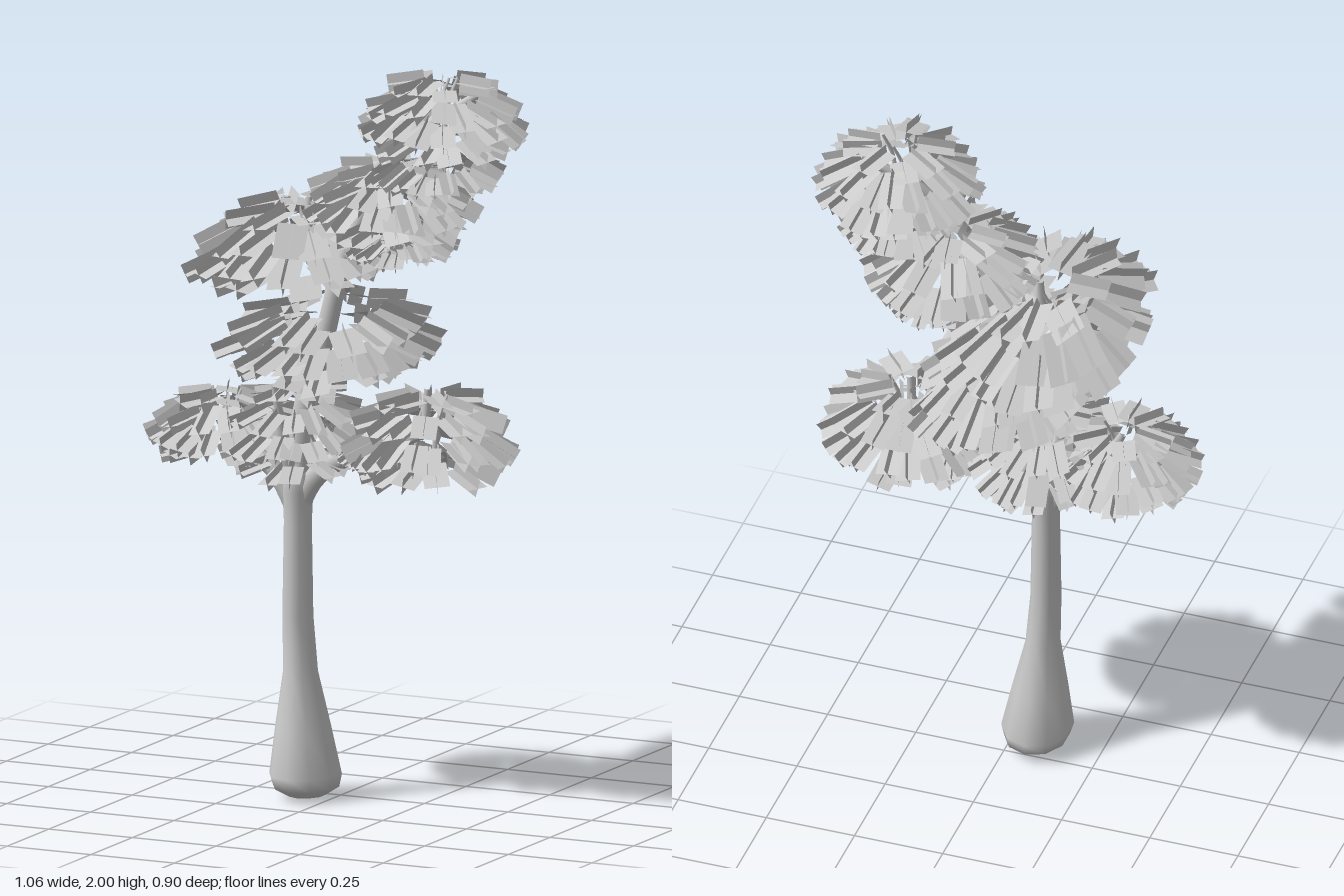
import * as THREE from 'three';
import { mergeGeometries } from 'three/addons/utils/BufferGeometryUtils.js';

const bark = new THREE.MeshStandardMaterial({ color: 0xcccccc });
const foliage = new THREE.MeshStandardMaterial({ color: 0xcccccc, side: THREE.DoubleSide });

let seed = 7;
const rand = () => (seed = (seed * 16807) % 2147483647) / 2147483647;
const jitter = (a) => (rand() * 2 - 1) * a;

// Tube along a curve, tapering from radius r0 to r1
function branch(name, points, r0, r1, sides = 8) {
  const curve = new THREE.CatmullRomCurve3(points.map((p) => new THREE.Vector3(...p)));
  const steps = points.length * 4;
  const geo = new THREE.TubeGeometry(curve, steps, 1, sides);
  const pos = geo.attributes.position;
  const v = new THREE.Vector3();
  for (let i = 0; i < pos.count; i++) {
    const t = Math.floor(i / (sides + 1)) / steps;
    const c = curve.getPointAt(t);
    v.fromBufferAttribute(pos, i).sub(c).multiplyScalar(r0 + (r1 - r0) * t).add(c);
    pos.setXYZ(i, v.x, v.y, v.z);
  }
  const mesh = new THREE.Mesh(geo, bark);
  mesh.name = name;
  return mesh;
}

// One leaf: a flat card crossed by a narrower upright card
function leaf(length, width, pitch) {
  const geo = mergeGeometries([
    new THREE.PlaneGeometry(length, width).rotateX(-Math.PI / 2),
    new THREE.PlaneGeometry(length, width * 0.75),
  ]);
  return geo.rotateX(jitter(0.3)).rotateZ(-pitch);
}

// Tiers of a rosette: height, inner radius, outer radius, pitch, leaf count
// (heights and radii are fractions of the crown's height and radius)
const TIERS = [
  [0.72, 0.2, 0.62, 0.12, 9],
  [0.3, 0.4, 0.9, 0.38, 15],
  [-0.22, 0.53, 1.0, 0.47, 19],
  [-0.72, 0.36, 0.8, 0.3, 11],
];
const LOW_TIERS = TIERS.slice(2);
const OPEN_TIERS = TIERS.slice(1);

// Domed rosette of leaves, stretched along z where rz differs from rx, tilted about z
function crown(name, [x, y, z], rx, rz, h, tiers = TIERS, tilt = 0) {
  const parts = [];
  for (const [ty, r0, r1, pitch, count] of tiers) {
    for (let i = 0; i < count; i++) {
      const angle = ((i + ty + jitter(0.3)) / count) * Math.PI * 2;
      // Long crowns are fuller at their corners than an ellipse
      const reach = rx * (1 + 0.2 * (rz / rx - 1) * Math.sin(2 * angle) ** 2);
      const length = (r1 - r0) * rx * (1 + jitter(0.08));
      const g = leaf(length, rx * 0.29, pitch + jitter(0.15));
      g.translate(((r0 + r1) / 2 + jitter(0.02)) * reach, ty * h + jitter(0.014), 0).rotateY(angle);
      parts.push(g);
    }
  }
  const geo = mergeGeometries(parts).scale(1, 1, rz / rx);
  const mesh = new THREE.Mesh(geo, foliage);
  mesh.name = name;
  mesh.position.set(x, y, z);
  mesh.rotation.z = tilt;
  return mesh;
}

export function createModel() {
  const tree = new THREE.Group();
  tree.name = 'tree';

  // Bottle-shaped trunk, deeper than wide at the foot and leaning slightly to the right
  const profile = [[0, 0.005], [0.05, 0.012], [0.087, 0.035], [0.096, 0.07], [0.074, 0.2],
    [0.046, 0.35], [0.041, 0.5], [0.037, 0.76], [0.041, 0.84], [0.042, 0.88], [0.03, 0.93]];
  const trunkGeo = new THREE.LatheGeometry(profile.map((p) => new THREE.Vector2(...p)), 10);
  trunkGeo.scale(1, 1, 1.18);
  const pos = trunkGeo.attributes.position;
  for (let i = 0; i < pos.count; i++) {
    pos.setX(i, pos.getX(i) - 0.07 - 0.027 * Math.min(1, pos.getY(i) / 0.5));
  }
  const trunk = new THREE.Mesh(trunkGeo, bark);
  trunk.name = 'trunk';
  trunk.position.z = 0.063;
  tree.add(trunk);

  // Main limbs
  tree.add(
    branch('leader', [[-0.1, 0.82, 0.063], [-0.08, 1.05, 0.06], [-0.02, 1.28, 0.05], [0.03, 1.48, 0.04],
      [0.12, 1.68, 0.02], [0.21, 1.82, -0.03], [0.37, 1.94, -0.09]], 0.04, 0.012),
    branch('leftUpperBranch', [[-0.01, 1.33, 0.05], [-0.03, 1.42, 0], [-0.11, 1.46, -0.03], [-0.12, 1.62, -0.05]], 0.022, 0.01),
    branch('leftLowerBranch', [[-0.1, 0.8, 0.063], [-0.16, 0.89, 0.07], [-0.25, 0.96, 0.08], [-0.31, 1.07, 0.08]], 0.035, 0.01),
    branch('rightLowerBranch', [[-0.1, 0.8, 0.063], [-0.04, 0.89, 0.06], [0.12, 0.98, 0.05], [0.26, 1.03, 0.04], [0.28, 1.15, 0.04]], 0.035, 0.01),
    branch('frontTwig', [[-0.1, 0.84, 0.063], [-0.11, 0.94, 0.1], [-0.13, 1.14, 0.14]], 0.026, 0.008),
    branch('backTwig', [[-0.1, 0.84, 0.063], [-0.09, 0.94, 0.02], [-0.08, 1.14, -0.03]], 0.026, 0.008),
  );

  // Thin upright shoots inside the crowns
  const shoots = [[0.26, 1.82, -0.05], [0.3, 1.83, -0.02], [0.15, 1.62, 0], [-0.16, 1.42, -0.03],
    [-0.29, 0.95, 0.09], [0.24, 0.97, 0.03], [0.31, 0.98, 0.06]];
  for (const [x, y, z] of shoots) {
    tree.add(branch('shoot', [[x, y, z], [x + 0.01, y + 0.09, z], [x + 0.03, y + 0.16, z - 0.02]], 0.008, 0.004, 5));
  }

  // Leaf crowns from top to bottom
  tree.add(
    crown('topCrown', [0.28, 1.88, -0.05], 0.235, 0.22, 0.11),
    crown('upperRightCrown', [0.28, 1.74, -0.02], 0.17, 0.2, 0.03, LOW_TIERS),
    crown('upperCrown', [0.13, 1.64, -0.04], 0.24, 0.25, 0.11),
    crown('upperUnderCrown', [0.17, 1.52, -0.02], 0.14, 0.18, 0.02, LOW_TIERS),
    crown('leftUpperCrown', [-0.14, 1.51, -0.04], 0.26, 0.4, 0.11),
    crown('middleCrown', [-0.01, 1.28, 0.04], 0.24, 0.4, 0.12, OPEN_TIERS, -0.1),
    crown('leftLowerCrown', [-0.31, 1.01, 0.07], 0.22, 0.22, 0.09),
    crown('centreLowerCrown', [-0.1, 1.015, 0.055], 0.19, 0.25, 0.14),
    crown('rightUnderCrown', [0.15, 0.97, 0.04], 0.13, 0.15, 0.04, LOW_TIERS),
    crown('rightLowerCrown', [0.28, 1.025, 0.03], 0.24, 0.23, 0.13),
  );
  return tree;
}
